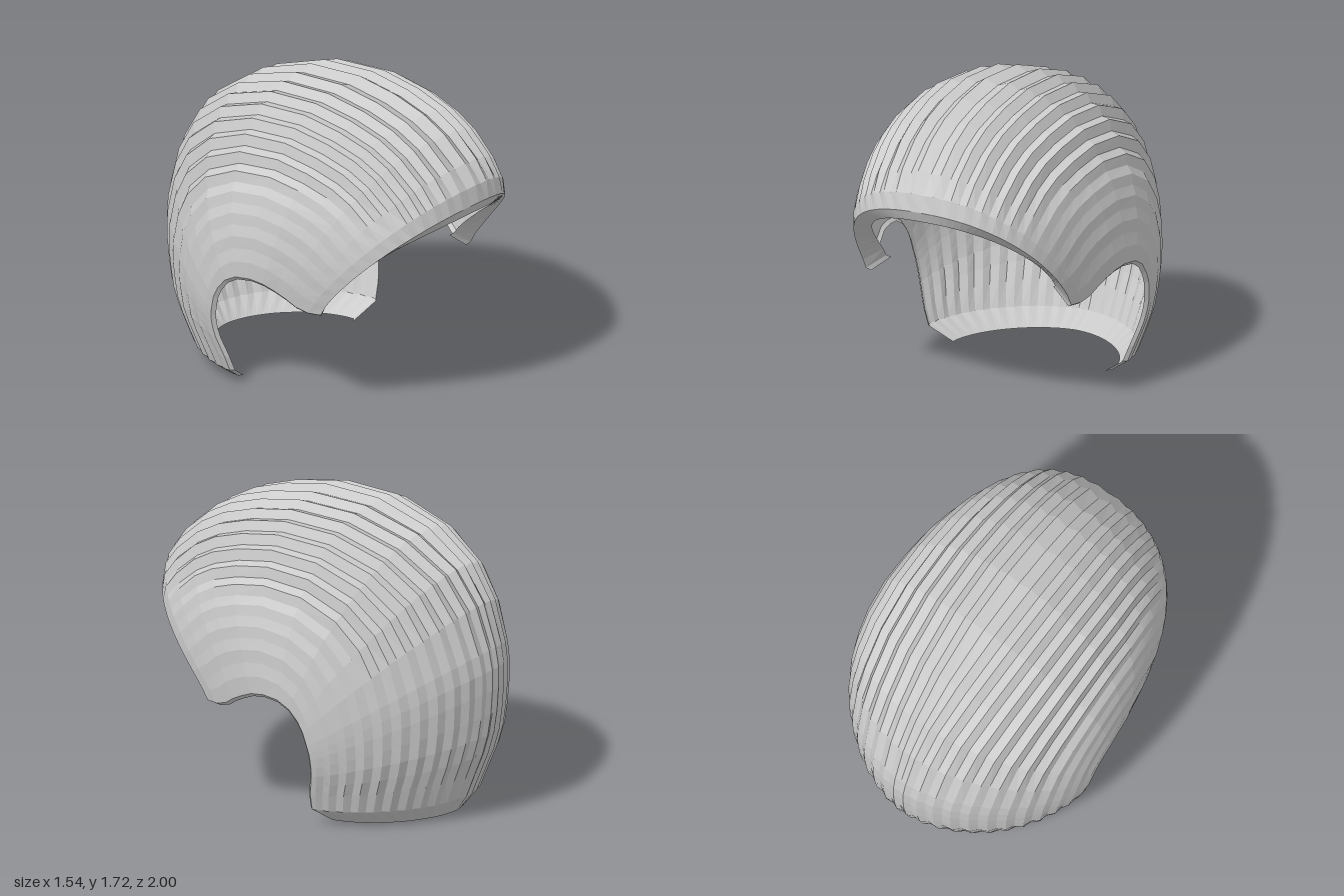
import * as THREE from 'three';

// Stations swept from the fringe over the crown to the nape:
// [crest z, crest y, rim x, rim y, rim z, roundness, strand depth]
const STATIONS = [
  [1.00, 1.20, 0.65, 0.60, 0.45, 2.4, 0.0],
  [0.98, 1.30, 0.675, 0.60, 0.38, 2.4, 0.012],
  [0.90, 1.41, 0.695, 0.62, 0.31, 2.4, 0.024],
  [0.75, 1.54, 0.715, 0.66, 0.25, 2.4, 0.03],
  [0.60, 1.62, 0.73, 0.69, 0.19, 2.4, 0.032],
  [0.40, 1.68, 0.75, 0.72, 0.12, 2.4, 0.032],
  [0.14, 1.72, 0.76, 0.73, 0.04, 2.4, 0.032],
  [-0.20, 1.70, 0.77, 0.72, -0.05, 2.32, 0.032],
  [-0.53, 1.59, 0.77, 0.68, -0.12, 2.15, 0.032],
  [-0.77, 1.42, 0.765, 0.62, -0.17, 1.95, 0.03],
  [-0.90, 1.22, 0.76, 0.56, -0.20, 1.85, 0.02],
  [-0.98, 0.98, 0.75, 0.48, -0.22, 1.78, 0.014],
  [-1.00, 0.87, 0.743, 0.44, -0.228, 1.75, 0.014],
  [-1.00, 0.75, 0.735, 0.40, -0.23, 1.75, 0.014],
  [-0.99, 0.61, 0.723, 0.35, -0.228, 1.75, 0.016],
  [-0.97, 0.48, 0.71, 0.30, -0.22, 1.78, 0.02],
  [-0.935, 0.36, 0.69, 0.24, -0.205, 1.8, 0.022],
  [-0.89, 0.25, 0.67, 0.18, -0.19, 1.8, 0.022],
  [-0.83, 0.10, 0.635, 0.09, -0.18, 1.78, 0.015],
  [-0.75, 0.00, 0.50, 0.00, -0.23, 1.75, 0.0],
];
const HALF = 24; // columns per side, two per strand

// One rounded cross-section, from the right ear rim over the crest to the left
function section([pz, py, rx, ry, rz, n, depth], i) {
  const len = Math.hypot(py - ry, pz - rz);
  const ey = ry + 0.02 * (py - ry) / len;
  const ez = rz + 0.02 * (pz - rz) / len;
  const zPower = 1 + 0.2 * Math.max(0, 1 - i / 4);
  const reach = 0.4 + 0.025 * i; // strands run further down the sides at the nape
  const rim = (s) => new THREE.Vector3(s * (rx - 0.025), ry, rz);
  const row = [rim(-1)];
  for (let j = -HALF; j <= HALF; j++) {
    const t = Math.abs(j) / HALF;
    const a = t * Math.PI / 2;
    const fade = THREE.MathUtils.clamp(1 - (t - reach) / 0.25, 0.25, 1);
    const scale = j % 2 === 0 ? 1 - depth * fade : 1; // grooves between strands
    const f = Math.pow(Math.max(0, Math.cos(a)), 2 / n);
    row.push(new THREE.Vector3(
      Math.sign(j) * rx * Math.pow(Math.sin(a), 2 / n) * scale,
      ey + (py - ey) * f * scale,
      ez + (pz - ez) * Math.pow(f, zPower) * scale,
    ));
  }
  row.push(rim(1));
  return row;
}

// Skin a list of equal-length rows into a surface
function skin(rows, name, material) {
  const w = rows[0].length;
  const index = [];
  for (let i = 0; i < rows.length - 1; i++) {
    for (let j = 0; j < w - 1; j++) {
      const a = i * w + j;
      index.push(a, a + 1, a + w, a + 1, a + w + 1, a + w);
    }
  }
  const geometry = new THREE.BufferGeometry().setFromPoints(rows.flat());
  geometry.setIndex(index);
  const flat = geometry.toNonIndexed();
  flat.computeVertexNormals();
  const mesh = new THREE.Mesh(flat, material);
  mesh.name = name;
  return mesh;
}

export function createModel() {
  const group = new THREE.Group();
  group.name = 'hair';
  const material = new THREE.MeshStandardMaterial({
    color: 0xcccccc, flatShading: true, side: THREE.DoubleSide,
  });

  // Main shell of combed strands
  const rows = STATIONS.map(section);
  group.add(skin(rows, 'hairShell', material));

  // Lip turned in under the fringe, rising at the sideburns
  const edge = rows[0];
  const inner = edge.map((p) => {
    const c = (p.y - 0.6) / 0.6;
    return new THREE.Vector3(p.x * 0.82, p.y + 0.09 - 0.15 * c, p.z - 0.025);
  });
  group.add(skin([inner, edge], 'fringeLip', material));
  return group;
}
